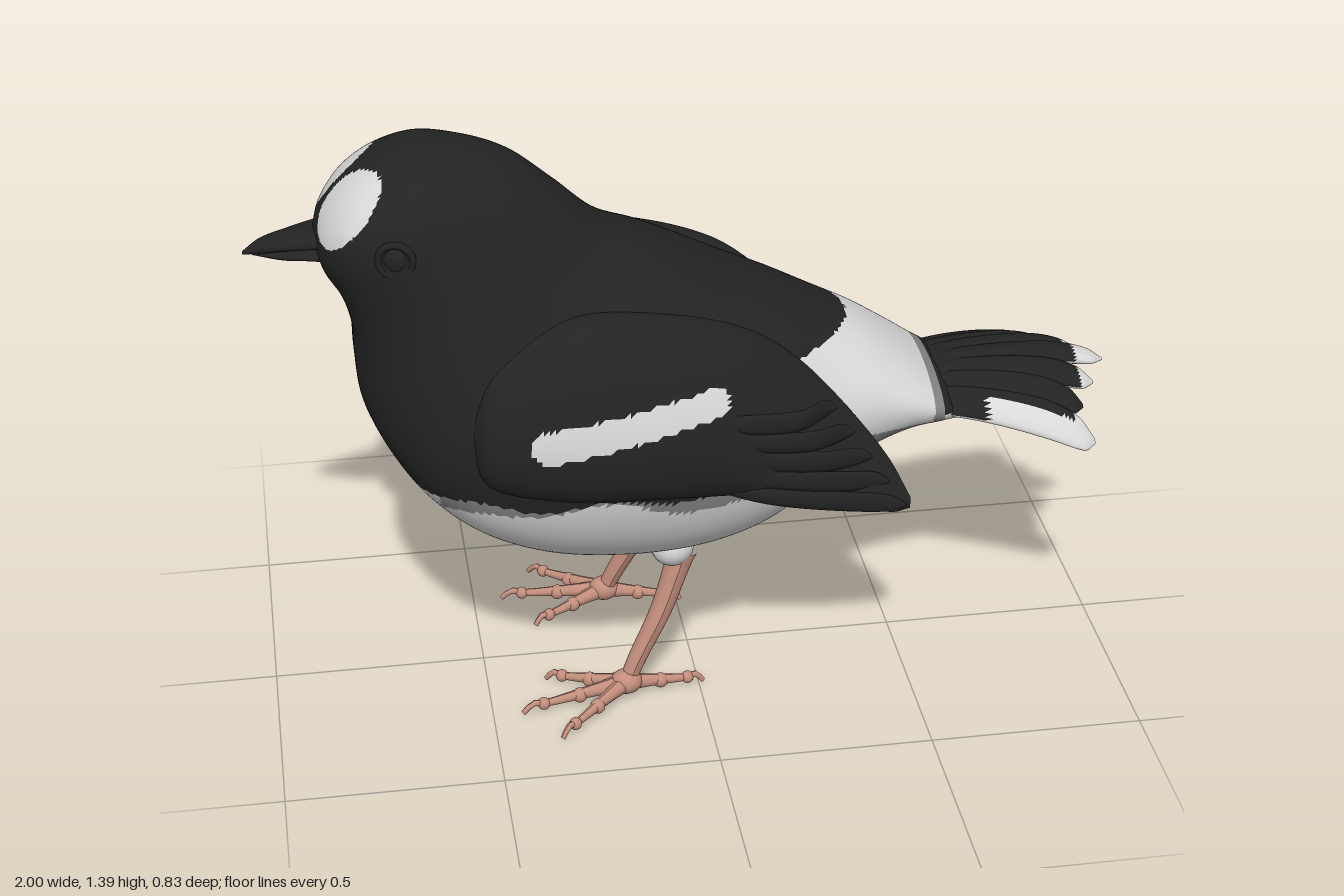
import * as THREE from 'three';

const mat = (name, color) => {
  const m = new THREE.MeshStandardMaterial({ color });
  m.name = name;
  return m;
};
const black = mat('black plumage', 0x232323);
const white = mat('white plumage', 0xd8d8d8);
const grey = mat('grey fringe', 0x858585);
const pink = mat('pink skin', 0xc28d7c);
const coats = [black, white, grey];
const V = (x, y, z) => new THREE.Vector3(x, y, z);

// Smooth skin over sections [topX, topY, topZ, bottomX, bottomY, bottomZ, halfWidth, taper], ordered along +x.
// A positive taper narrows the top of a ring; arch lowers the sides.
// paint(point, c, s) gives a colour index; c is 1 at the top of a ring, s is 1 on its outer side.
function loft(name, sections, { rings = 24, sides = 16, side = 1, fullness = 1, arch = 0, paint = () => 0 } = {}) {
  const tops = new THREE.CatmullRomCurve3(sections.map(q => V(q[0], q[1], q[2])));
  const bottoms = new THREE.CatmullRomCurve3(sections.map(q => V(q[3], q[4], q[5])));
  const widths = new THREE.CatmullRomCurve3(sections.map((q, i) => V(q[6], i * 0.1, q[7] ?? 0)));
  const pts = [], pos = [], faces = [[], [], []];
  for (let i = 0; i <= rings; i++) {
    const t = i / rings, a = tops.getPoint(t), b = bottoms.getPoint(t), wide = widths.getPoint(t);
    const w = Math.max(0.001, wide.x);
    const mid = a.clone().add(b).multiplyScalar(0.5), half = a.clone().sub(b).multiplyScalar(0.5);
    for (let j = 0; j < sides; j++) {
      const ang = j / sides * Math.PI * 2, c = Math.cos(ang), s = Math.sin(ang);
      const p = mid.clone().addScaledVector(half, c);
      p.z += w * Math.sign(s) * Math.abs(s) ** (c < 0 ? fullness : 1) * (1 - wide.z * c);
      p.y -= arch * p.z * p.z;
      pts.push({ p, c, s });
      pos.push(p.x, p.y, p.z * side);
    }
  }
  const tri = (...ids) => {
    const m = V(0, 0, 0);
    let c = 0, s = 0;
    for (const k of ids) { m.add(pts[k].p); c += pts[k].c / 3; s += pts[k].s / 3; }
    if (side < 0) ids.reverse();
    faces[paint(m.divideScalar(3), c, s)].push(...ids);
  };
  for (let i = 0; i < rings; i++) for (let j = 0; j < sides; j++) {
    const k = (j + 1) % sides, a = i * sides + j, b = i * sides + k;
    tri(a, b, a + sides);
    tri(b, b + sides, a + sides);
  }
  const g = new THREE.BufferGeometry();
  g.setAttribute('position', new THREE.Float32BufferAttribute(pos, 3));
  g.setIndex(faces.flat());
  let start = 0;
  faces.forEach((f, i) => { if (f.length) g.addGroup(start, f.length, i); start += f.length; });
  g.computeVertexNormals();
  const mesh = new THREE.Mesh(g, coats);
  mesh.name = name;
  return mesh;
}

// Round limb through points, with the radius easing from r0 to r1
function limb(name, points, r0, r1) {
  const curve = new THREE.CatmullRomCurve3(points), seg = 14, rad = 10;
  const g = new THREE.TubeGeometry(curve, seg, 1, rad), p = g.attributes.position, v = V(0, 0, 0);
  for (let i = 0; i < p.count; i++) {
    const t = Math.floor(i / (rad + 1)) / seg, c = curve.getPointAt(t);
    v.fromBufferAttribute(p, i).sub(c).multiplyScalar(r0 + (r1 - r0) * Math.sqrt(t)).add(c);
    p.setXYZ(i, v.x, v.y, v.z);
  }
  g.computeVertexNormals();
  const mesh = new THREE.Mesh(g, pink);
  mesh.name = name;
  return mesh;
}

function ball(name, material, r, x, y, z, sx = 1, sy = 1, sz = 1) {
  const m = new THREE.Mesh(new THREE.SphereGeometry(r, 16, 12), material);
  m.name = name;
  m.position.set(x, y, z);
  m.scale.set(sx, sy, sz);
  return m;
}

// Plumage pattern: forehead spots, dark hood and back, white rump and belly
function paintBody(p) {
  const z = Math.abs(p.z);
  if (p.x < -0.66 && p.y > 1.1) {
    const dx = p.x + 0.772, dy = p.y - 1.285, u = (dx + dy) * 0.707, v = (dx - dy) * 0.707;
    return z > 0.012 && Math.hypot(u / 0.103, v / 0.1, (z - 0.094) / 0.086) < 1 ? 1 : 0;
  }
  if (p.x > 0.37 - 0.13 * Math.min(1.4, (z / 0.2) ** 2) && p.y > 0.6) {
    if (p.x > 0.575) return p.y > 0.69 ? 0 : 1;
    if (z > 0.16 && p.y > 0.635 && p.y < 0.67) return 2;
    return p.x > 0.55 && p.y > 0.67 ? 2 : 1;
  }
  const edge = 0.625 + 0.012 * Math.sin(p.x * 21);
  if (p.y > edge) return 0;
  return p.y > edge - 0.025 - 0.02 * Math.sin(p.x * 9 + 1) && p.x > -0.6 ? 2 : 1;
}

// White bar on the outer face of the wing
function paintWing(p, c, s) {
  const t = Math.min(1, Math.max(0, (p.x + 0.365) / 0.375));
  const d = Math.hypot(p.x - (-0.365 + 0.375 * t), p.y - (0.812 + 0.062 * t));
  return s > 0 && d < 0.04 - 0.008 * t ? 1 : 0;
}

export function createModel() {
  const bird = new THREE.Group();
  bird.name = 'bird';

  // Head and body in one skin; sections fan from the face round to the tail
  const body = [
    [-0.845, 1.185, -0.845, 1.175, 0.002, 0], [-0.825, 1.245, -0.825, 1.11, 0.1, 0],
    [-0.775, 1.31, -0.79, 1.05, 0.168, -0.1], [-0.70, 1.362, -0.77, 0.97, 0.198, -0.2],
    [-0.60, 1.39, -0.767, 0.88, 0.218, -0.25], [-0.50, 1.38, -0.757, 0.78, 0.24, -0.1],
    [-0.40, 1.345, -0.715, 0.68, 0.275, 0.12], [-0.30, 1.265, -0.64, 0.57, 0.318, 0.22],
    [-0.20, 1.175, -0.53, 0.47, 0.348, 0.17], [-0.10, 1.13, -0.38, 0.395, 0.365, 0.07],
    [0, 1.08, -0.2, 0.36, 0.362, 0], [0.1, 1.03, -0.02, 0.365, 0.345, 0],
    [0.2, 0.985, 0.13, 0.40, 0.31, 0], [0.3, 0.935, 0.27, 0.475, 0.258, 0],
    [0.4, 0.88, 0.4, 0.57, 0.222, 0], [0.5, 0.81, 0.5, 0.62, 0.2, 0],
    [0.575, 0.755, 0.58, 0.64, 0.18, 0.05], [0.64, 0.72, 0.65, 0.655, 0.14, 0.2],
    [0.72, 0.7, 0.72, 0.69, 0.05, 0],
  ].map(([a, b, c, d, w, k]) => [a, b, 0, c, d, 0, w, k]);
  bird.add(loft('body', body, { rings: 170, sides: 144, fullness: 0.72, paint: paintBody }));

  // Beak
  bird.add(loft('upperBeak', [
    [-1, 1.148, 0, -1, 1.14, 0, 0.004], [-0.96, 1.174, 0, -0.96, 1.143, 0, 0.025],
    [-0.9, 1.188, 0, -0.9, 1.15, 0, 0.047], [-0.84, 1.2, 0, -0.84, 1.155, 0, 0.065],
    [-0.78, 1.21, 0, -0.78, 1.155, 0, 0.075]]));
  bird.add(loft('lowerBeak', [
    [-0.98, 1.146, 0, -0.98, 1.138, 0, 0.004], [-0.91, 1.152, 0, -0.91, 1.127, 0, 0.036],
    [-0.84, 1.157, 0, -0.84, 1.125, 0, 0.055], [-0.78, 1.16, 0, -0.78, 1.11, 0, 0.07]]));

  // Tail: an arched fan under spread feathers, dark above and pale below, with white tips and outer edges
  const arch = 1.6;
  bird.add(loft('tailFan', [
    [0.45, 0.74, 0, 0.45, 0.7, 0, 0.16], [0.62, 0.752, 0, 0.62, 0.715, 0, 0.165],
    [0.75, 0.75, 0, 0.75, 0.72, 0, 0.175], [0.82, 0.742, 0, 0.82, 0.722, 0, 0.17],
    [0.86, 0.732, 0, 0.86, 0.726, 0, 0.14]],
  { rings: 40, sides: 48, arch, paint: (p, c) => (c < 0 ? 1 : 0) }));
  const tipX = [1, 0.955, 0.915, 0.925], tipZ = [0, 0.085, 0.15, 0.232], whiteFrom = [0.925, 0.92, 9, 0.88];
  for (let i = -3; i <= 3; i++) {
    const k = Math.abs(i), dir = Math.sign(i), x1 = tipX[k];
    const at = (t, y, h, w) => {
      const x = 0.5 + (x1 - 0.5) * t, z = dir * (0.036 * k + (tipZ[k] - 0.036 * k) * t);
      return [x, y + h, z, x, y - h, z, w];
    };
    const paint = (p, c) => {
      const edge = k === 3 && p.x > 0.68 && Math.abs(p.z) > 0.165 + 0.24 * (p.x - 0.68);
      return c < 0 || edge || p.x > whiteFrom[k] ? 1 : 0;
    };
    bird.add(loft('tailFeather', [
      at(0, 0.72, 0.015, 0.036), at(0.35, 0.738, 0.021, 0.04), at(0.75, 0.735, 0.02, 0.043),
      at(0.93, 0.717, 0.013, 0.034), at(1, 0.705, 0.002, 0.006)],
    { rings: 36, sides: 20, arch, paint }));
  }

  // Undertail tuft
  for (let i = -2; i <= 2; i++) {
    bird.add(ball('ventTuft', white, 0.022, 0.245 - 0.008 * Math.abs(i), 0.47 + 0.012 * (i % 2), i * 0.03));
  }

  for (const side of [1, -1]) {
    // Folded wing
    bird.add(loft(side > 0 ? 'leftWing' : 'rightWing', [
      [-0.53, 0.85, 0.31, -0.53, 0.77, 0.31, 0.01], [-0.47, 0.97, 0.27, -0.5, 0.69, 0.32, 0.08],
      [-0.3, 1.05, 0.255, -0.33, 0.645, 0.34, 0.105], [-0.1, 1.04, 0.245, -0.1, 0.63, 0.34, 0.103],
      [0.1, 0.98, 0.23, 0.08, 0.62, 0.335, 0.086], [0.22, 0.89, 0.22, 0.2, 0.6, 0.335, 0.066],
      [0.33, 0.77, 0.24, 0.33, 0.57, 0.335, 0.042], [0.42, 0.655, 0.29, 0.42, 0.54, 0.34, 0.02],
      [0.465, 0.57, 0.33, 0.465, 0.54, 0.33, 0.003]],
    { rings: 120, sides: 96, side, paint: paintWing }));

    // Overlapping flight feathers emerging from the wing surface
    for (let i = 0; i < 5; i++) {
      const y0 = 0.66 + 0.04 * i, x1 = 0.455 - 0.04 * i, y1 = 0.555 + 0.062 * i, z1 = 0.34 - 0.01 * i;
      const at = (t, z, h, w) => {
        const x = -0.02 + (x1 + 0.02) * t, y = y0 + (y1 - y0) * t;
        return [x, y + h, z, x, y - h, z, w];
      };
      bird.add(loft('flightFeather', [
        at(0, 0.35, 0.008, 0.004), at(0.3, 0.366, 0.024, 0.012), at(0.7, 0.355, 0.026, 0.012),
        at(0.93, z1, 0.02, 0.009), at(1, z1, 0.003, 0.003)], { side, sides: 12 }));
    }

    // Eye with a raised lid
    const eye = new THREE.Group();
    eye.name = side > 0 ? 'leftEye' : 'rightEye';
    const lid = new THREE.Mesh(new THREE.TorusGeometry(0.038, 0.009, 8, 28), black);
    lid.name = 'eyelid';
    lid.position.z = 0.008;
    eye.add(ball('eyeball', black, 0.032, 0, 0, 0, 1, 1, 0.7), lid);
    eye.position.set(-0.67, 1.205, side * 0.207);
    eye.rotation.y = side > 0 ? -0.25 : Math.PI + 0.25;
    bird.add(eye);

    // Leg with feathered thigh, three front toes and one hind toe
    const leg = new THREE.Group();
    leg.name = side > 0 ? 'leftLeg' : 'rightLeg';
    leg.add(ball('thighTuft', white, 0.052, -0.06, 0.383, side * 0.155, 1, 0.95, 1));
    leg.add(limb('shin', [V(-0.035, 0.37, side * 0.155), V(-0.09, 0.22, side * 0.178),
      V(-0.15, 0.1, side * 0.195), V(-0.18, 0.03, side * 0.205)], 0.036, 0.02));
    leg.add(ball('ankle', pink, 0.032, -0.178, 0.042, side * 0.205, 1.2, 0.95, 1));
    const toes = [[-0.43, 0.25], [-0.35, 0.365], [-0.36, 0.115], [0.01, 0.18]];
    for (const [x, z] of toes) {
      const at = (t, y) => V(-0.18 + (x + 0.18) * t, y, side * (0.205 + (z - 0.205) * t));
      leg.add(limb('toe', [at(0, 0.04), at(0.4, 0.032), at(0.8, 0.025), at(0.9, 0.03), at(1, 0.008)], 0.026, 0.006));
      leg.add(ball('toeJoint', pink, 0.018, ...at(0.45, 0.028).toArray()));
      leg.add(ball('toePad', pink, 0.015, ...at(0.8, 0.024).toArray()));
    }
    bird.add(leg);
  }
  return bird;
}
